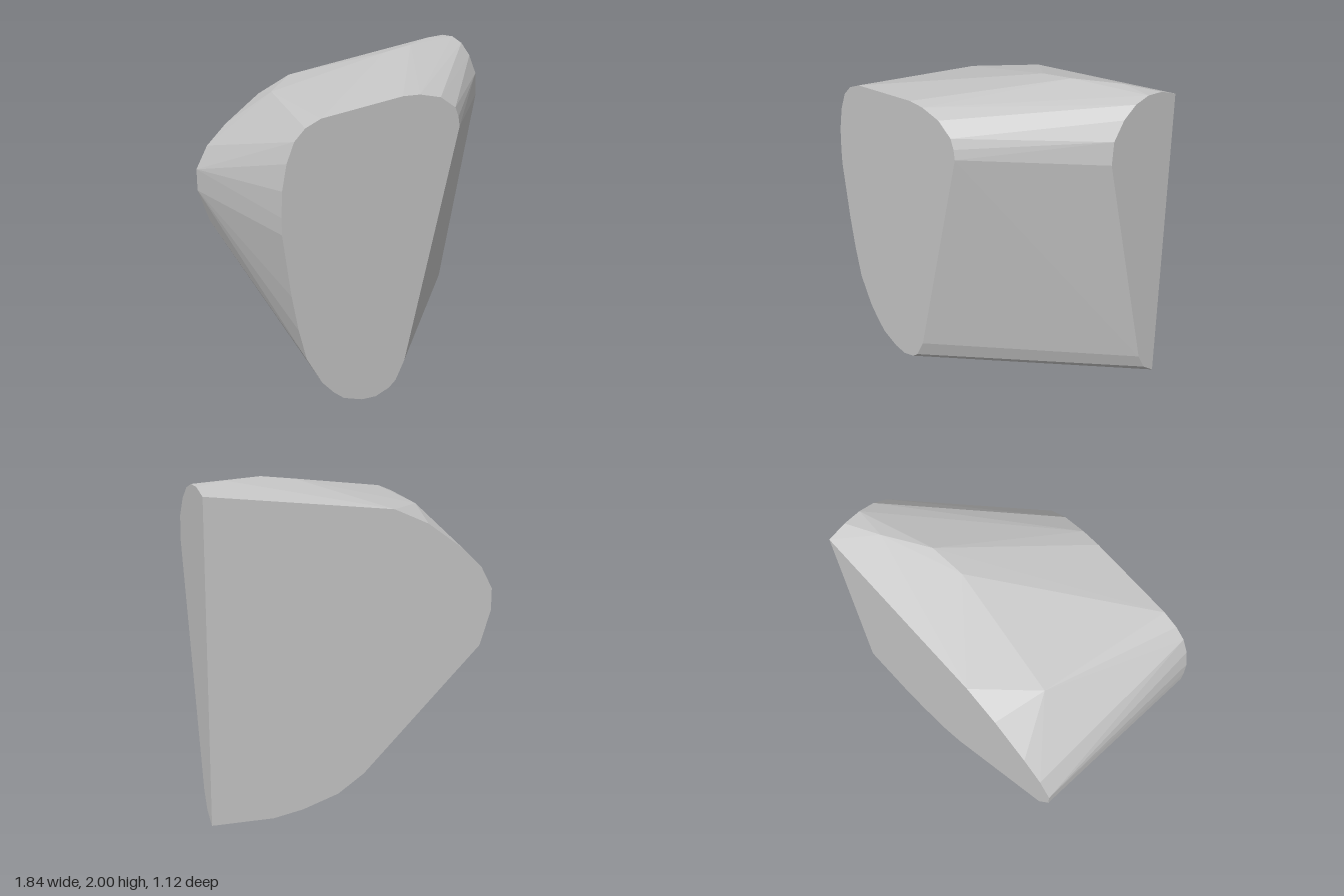
import * as THREE from 'three';
import { ConvexGeometry } from 'three/addons/geometries/ConvexGeometry.js';

const V = (x, y, z) => new THREE.Vector3(x, y, z);

export function createModel() {
  const group = new THREE.Group();
  group.name = 'cutRock';
  const stone = new THREE.MeshStandardMaterial({ color: 0xc6c6c6, flatShading: true });
  stone.name = 'stoneGrey';

  // Flat front cut, outline as x, y
  const front = [
    [-0.92, 1.2], [-0.92, 1.3], [-0.912, 1.45], [-0.88, 1.6], [-0.83, 1.715], [-0.76, 1.78], [-0.66, 1.82],
    [-0.12, 1.875], [0, 1.87], [0.15, 1.835], [0.26, 1.76], [0.285, 1.7], [0.295, 1.64],
    [-0.085, 0.2], [-0.15, 0.08], [-0.2, 0.04], [-0.3, 0.01], [-0.4, 0.02], [-0.53, 0.07],
    [-0.6, 0.13], [-0.68, 0.22], [-0.78, 0.4], [-0.83, 0.6], [-0.87, 0.82],
  ].map(([x, y]) => V(x, y, 0.56));

  // Flat back cut, outline as x, y
  const back = [
    [0.92, 1.945], [-0.235, 1.817], [-0.46, 1.72], [-0.7, 1.555], [-0.834, 1.433], [-0.915, 1.29],
    [-0.915, 1.15], [-0.842, 0.932], [-0.055, 0.195], [0.116, 0.089], [0.347, 0.025],
    [0.535, 0], [0.92, 0.02],
  ].map(([x, y]) => V(x, y, -0.56));

  // Flat side cut, outline as z, y
  const side = [
    [-0.06, 1.64], [-0.07, 1.78], [-0.14, 1.89], [-0.23, 1.96], [-0.33, 1.99],
    [-0.44, 1.985], [-0.47, 0.085], [-0.415, 0.19],
  ].map(([z, y]) => V(0.92, y, z));

  // Bulges of the crown and the underside between the cuts
  const crown = [V(0.46, 2, -0.18), V(0.72, 2, -0.34), V(0.24, 1.975, -0.16), V(-0.53, 1.8, -0.25), V(-0.44, 1.785, -0.38)];
  const underside = [V(-0.13, 0.04, -0.2), V(-0.41, 0.06, 0.2), V(0.3, 0.003, -0.25)];

  const rock = new THREE.Mesh(
    new ConvexGeometry([...front, ...back, ...side, ...crown, ...underside]), stone);
  rock.name = 'rock';
  group.add(rock);
  return group;
}
